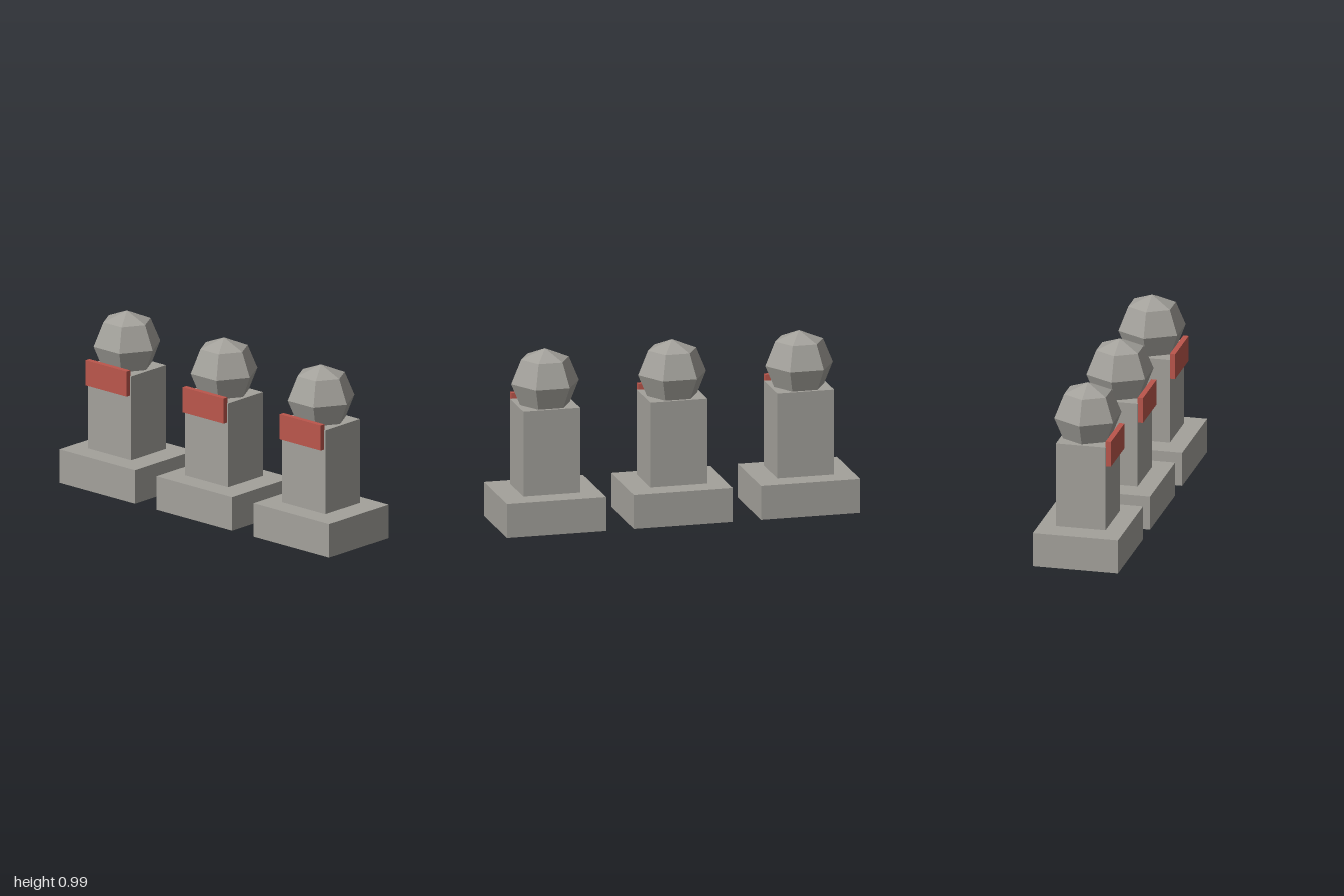
import * as THREE from 'three';

const stone = new THREE.MeshStandardMaterial({ color: 0xa3a19b, flatShading: true });
stone.name = 'stone';
const red = new THREE.MeshStandardMaterial({ color: 0xbb564c, flatShading: true });
red.name = 'red cloth';

function addPart(parent, name, geometry, material, y, z = 0) {
  const mesh = new THREE.Mesh(geometry, material);
  mesh.name = name;
  mesh.position.set(0, y, z);
  parent.add(mesh);
}

// One stone figure: plinth, square body, faceted head and a red bib in front
function createStatue() {
  const statue = new THREE.Group();
  addPart(statue, 'plinth', new THREE.BoxGeometry(0.56, 0.192, 0.48), stone, 0.096);
  addPart(statue, 'body', new THREE.BoxGeometry(0.32, 0.48, 0.28), stone, 0.44);
  addPart(statue, 'head', new THREE.SphereGeometry(0.191, 6, 4), stone, 0.801);
  addPart(statue, 'bib', new THREE.BoxGeometry(0.304, 0.144, 0.03), red, 0.641, 0.153);
  return statue;
}

export function createModel() {
  const model = new THREE.Group();
  model.name = 'statueRow';
  // Three identical figures side by side
  ['rightStatue', 'middleStatue', 'leftStatue'].forEach((name, i) => {
    const statue = createStatue();
    statue.name = name;
    statue.position.x = (i - 1) * 0.72;
    model.add(statue);
  });
  return model;
}
